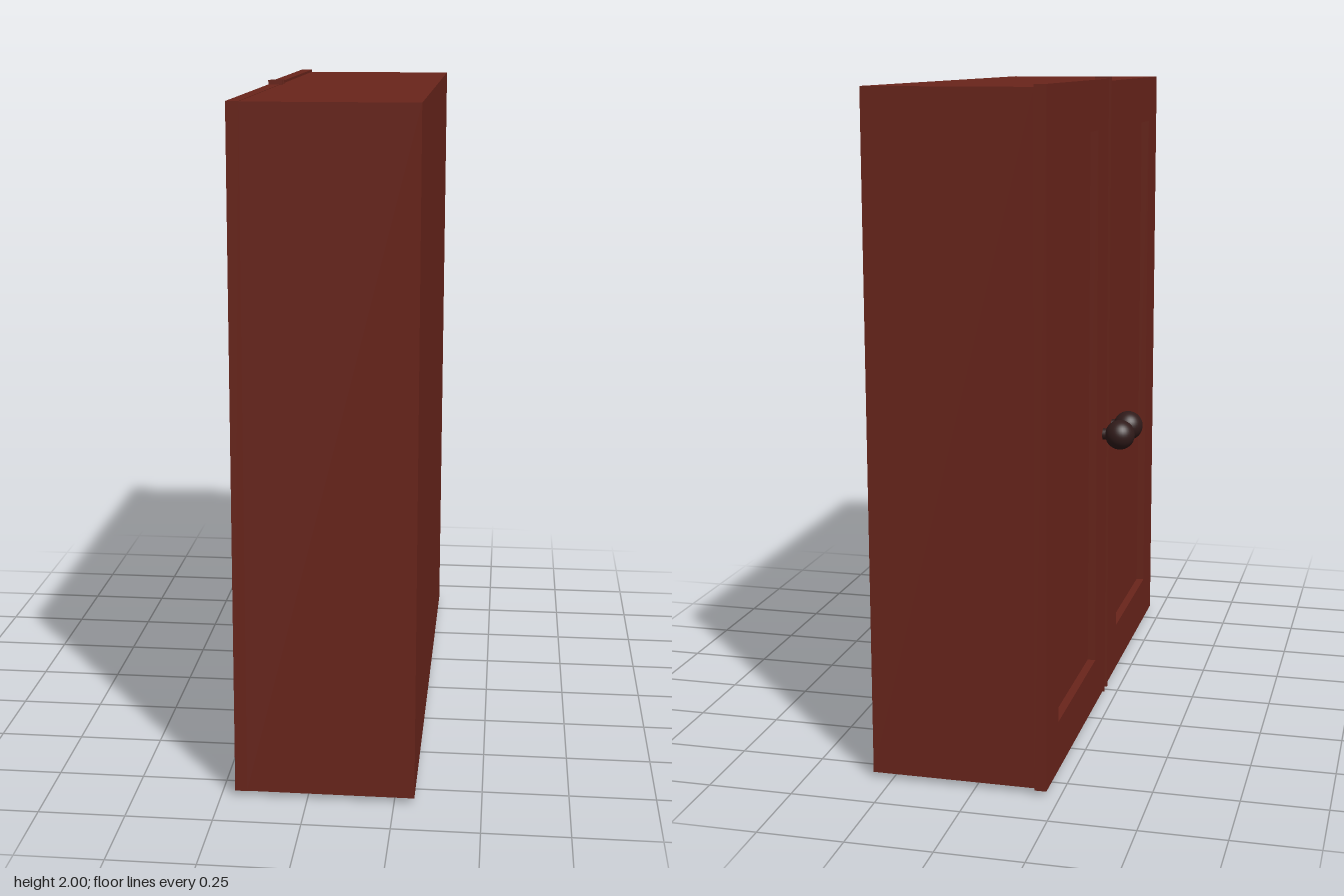
import * as THREE from 'three';

const wood = new THREE.MeshStandardMaterial({ color: 0x6a251b });
wood.name = 'mahogany';
const knobMat = new THREE.MeshStandardMaterial({ color: 0x301b1a });
knobMat.name = 'dark knob';
const grey = new THREE.MeshStandardMaterial({ color: 0xdadada });
grey.name = 'unfinished pale grey';

const BACK = -0.175;  // plane where the doors meet the carcass
const FACE = -0.21;   // outer plane of the doors

// Box given by its minimum and maximum corners
function box(name, min, max, material) {
  const size = max.map((v, i) => v - min[i]);
  const mesh = new THREE.Mesh(new THREE.BoxGeometry(...size), material);
  mesh.position.set(...max.map((v, i) => (v + min[i]) / 2));
  mesh.name = name;
  return mesh;
}

function rectangle(path, z0, y0, z1, y1) {
  path.moveTo(z0, y0);
  path.lineTo(z1, y0);
  path.lineTo(z1, y1);
  path.lineTo(z0, y1);
  path.closePath();
  return path;
}

// Framed door with a recessed panel, a thin meeting edge and a round knob
function door(name, z0, z1, y0, y1, edgeZ, knobZ) {
  const group = new THREE.Group();
  group.name = name;
  const frame = 0.15;

  const outline = rectangle(new THREE.Shape(), z0, y0, z1, y1);
  outline.holes.push(rectangle(new THREE.Path(), z0 + frame, y0 + frame, z1 - frame, y1 - frame));
  const geometry = new THREE.ExtrudeGeometry(outline, { depth: BACK - FACE, bevelEnabled: false });
  geometry.rotateY(-Math.PI / 2);
  const frameMesh = new THREE.Mesh(geometry, wood);
  frameMesh.position.x = BACK;
  frameMesh.name = 'doorFrame';
  group.add(frameMesh);

  group.add(box('doorPanel', [FACE + 0.025, y0 + frame, z0 + frame], [BACK, y1 - frame, z1 - frame], wood));
  group.add(box('meetingEdge', [FACE, 0.004, edgeZ - 0.003], [BACK + 0.008, 2, edgeZ + 0.003], wood));

  const stem = new THREE.Mesh(new THREE.CylinderGeometry(0.018, 0.018, 0.05, 20), knobMat);
  stem.rotation.z = Math.PI / 2;
  stem.position.set(-0.215, 0.886, knobZ);
  stem.name = 'knobStem';
  const knob = new THREE.Mesh(new THREE.SphereGeometry(0.047, 32, 20), knobMat);
  knob.position.set(-0.264, 0.886, knobZ);
  knob.name = 'knob';
  group.add(stem, knob);
  return group;
}

export function createModel() {
  const model = new THREE.Group();
  model.name = 'cabinet';

  // Carcass with an unpainted underside
  model.add(box('carcass', [BACK, 0.02, -0.837], [0.308, 1.986, 0.843],
    [wood, wood, wood, grey, wood, wood]));

  model.add(door('rearDoor', -0.843, -0.018, 0.016, 1.994, -0.019, -0.067));
  model.add(door('frontDoor', 0.024, 0.843, 0.019, 1.987, 0.027, 0.072));
  return model;
}
